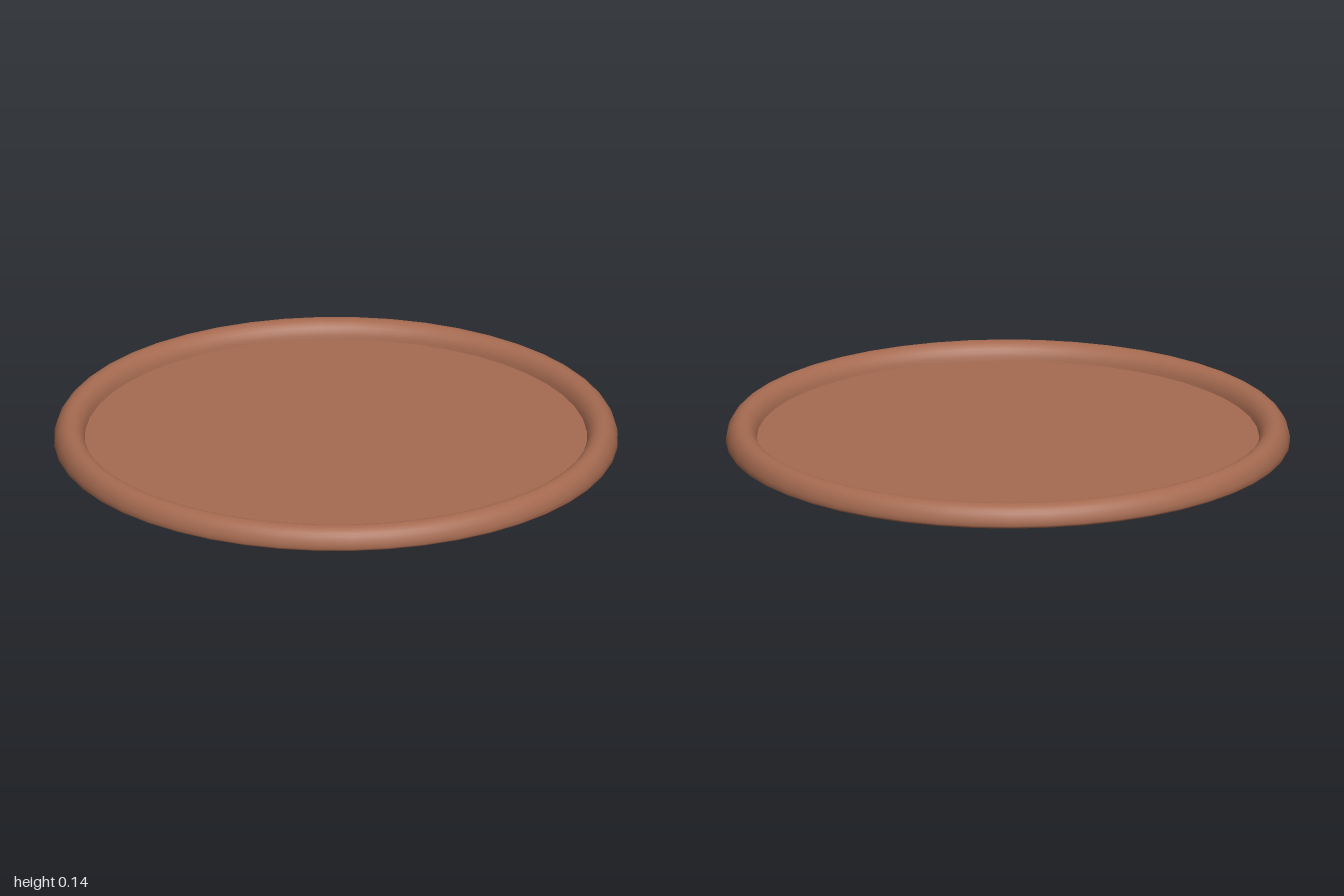
import * as THREE from 'three';

const SEGMENTS = 48;
const MID = 0.07;          // height of the widest point
const RIDGE = 0.945;       // radius of the rim's crest
const FLOOR_RADIUS = 0.89;
const FLOOR_HEIGHT = 0.08;

export function createModel() {
  const group = new THREE.Group();
  group.name = 'shallowDish';
  const material = new THREE.MeshStandardMaterial({ color: 0xa56a50, roughness: 0.8 });

  const profile = [];
  // domed underside, from the centre out to the widest point
  for (let i = 0; i <= 16; i++) {
    const a = (i / 16) * Math.PI / 2;
    profile.push(new THREE.Vector2(Math.sin(a), MID * (1 - Math.cos(a))));
  }
  // rounded rim, up over the crest and down to the floor
  const end = Math.PI - Math.asin((FLOOR_HEIGHT - MID) / MID);
  for (let i = 1; i <= 14; i++) {
    const a = (i / 14) * end;
    profile.push(new THREE.Vector2(RIDGE + 0.055 * Math.cos(a), MID + 0.07 * Math.sin(a)));
  }
  const shell = new THREE.Mesh(new THREE.LatheGeometry(profile, SEGMENTS), material);
  shell.name = 'undersideAndRim';
  group.add(shell);

  // flat inner floor, meeting the rim at a sharp crease
  const floorProfile = [new THREE.Vector2(FLOOR_RADIUS + 0.001, FLOOR_HEIGHT), new THREE.Vector2(0, FLOOR_HEIGHT)];
  const floor = new THREE.Mesh(new THREE.LatheGeometry(floorProfile, SEGMENTS), material);
  floor.name = 'floor';
  group.add(floor);

  return group;
}
